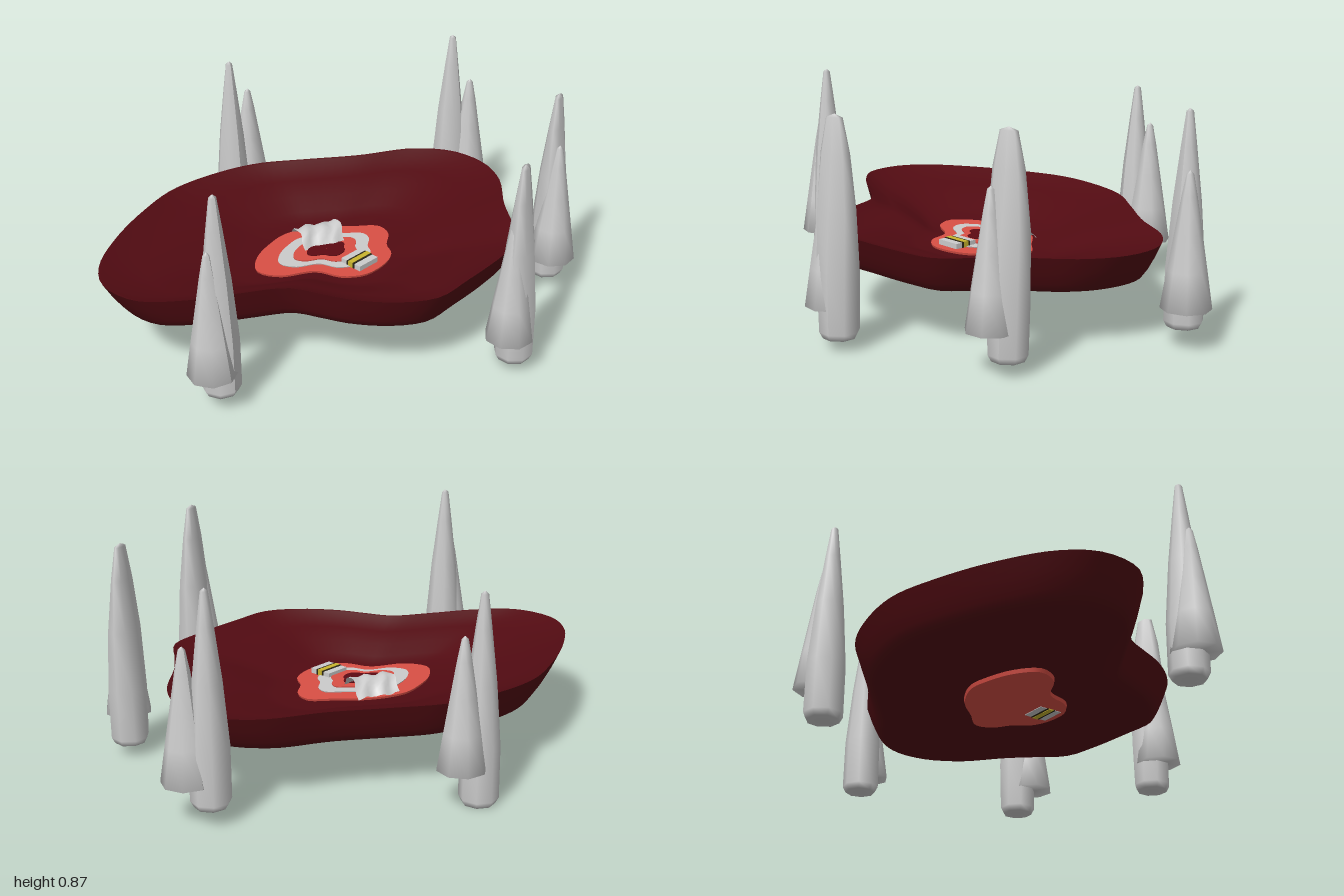
import * as THREE from 'three';
import { toCreasedNormals } from 'three/addons/utils/BufferGeometryUtils.js';

const material = (color) => new THREE.MeshStandardMaterial({ color, side: THREE.DoubleSide, roughness: 0.9 });
const grey = material(0xcccccc);

function addMesh(parent, name, geometry, mat) {
  const mesh = new THREE.Mesh(geometry, mat);
  mesh.name = name;
  parent.add(mesh);
  return mesh;
}

// Closed smooth outline in the ground plane from a few [x, z] points
function outline(points, count) {
  const curve = new THREE.CatmullRomCurve3(points.map(([x, z]) => new THREE.Vector3(x, 0, z)), true);
  return curve.getSpacedPoints(count).slice(0, count);
}

// Solid made of rings: the outline scaled about a centre, at [scale, y]
function loft(ring, cx, cz, levels, crease = 0.7) {
  const n = ring.length, positions = [], index = [];
  levels.forEach(([s, y], i) => ring.forEach((p, j) => {
    positions.push(cx + (p.x - cx) * s, y, cz + (p.z - cz) * s);
    if (i === levels.length - 1) return;
    const a = i * n + j, b = i * n + (j + 1) % n;
    index.push(a, a + n, b, b, a + n, b + n);
  }));
  const g = new THREE.BufferGeometry();
  g.setAttribute('position', new THREE.Float32BufferAttribute(positions, 3));
  g.setIndex(index);
  return toCreasedNormals(g, crease);
}

// Faceted spike with a bent tip; tip widens the top along its own x
function spike(profile, height, { sides = 8, tip = 0, turn = 0 } = {}) {
  const g = new THREE.LatheGeometry(profile.map(([r, t]) => new THREE.Vector2(r, t * height)), sides);
  const p = g.attributes.position;
  for (let i = 0; i < p.count; i++) {
    const t = p.getY(i) / height;
    p.setX(i, p.getX(i) * (1 + tip * t * t));
  }
  g.rotateY(turn);
  g.computeVertexNormals();
  return g;
}

const tallProfile = [[0, 0], [0.062, 0], [0.075, 0.03], [0.074, 0.28], [0.054, 0.58], [0.03, 0.83], [0.014, 0.985], [0, 1]];
const shortProfile = [[0, 0], [0.094, 0], [0.072, 0.28], [0.05, 0.55], [0.028, 0.82], [0.013, 0.975], [0, 1]];

export function createModel() {
  const model = new THREE.Group();

  // Shallow dish with an irregular rim
  const dishRing = outline([
    [-1, -0.1], [-0.95, -0.24], [-0.8, -0.4], [-0.61, -0.54], [-0.42, -0.64], [-0.19, -0.67], [0, -0.65],
    [0.19, -0.57], [0.41, -0.47], [0.65, -0.39], [0.78, -0.27], [0.82, -0.11], [0.78, 0.05], [0.65, 0.24],
    [0.59, 0.35], [0.51, 0.5], [0.38, 0.56], [0.14, 0.63], [-0.02, 0.665], [-0.16, 0.61], [-0.29, 0.5],
    [-0.37, 0.39], [-0.44, 0.3], [-0.61, 0.23], [-0.8, 0.16], [-0.95, 0.06],
  ], 104);
  addMesh(model, 'dish', loft(dishRing, -0.05, -0.02, [
    [0.002, 0.21], [0.5, 0.21], [0.87, 0.211], [0.905, 0.222], [0.93, 0.25], [0.965, 0.3], [1, 0.36],
    [0.985, 0.357], [0.95, 0.342], [0.8, 0.318], [0.65, 0.29], [0.52, 0.255], [0.42, 0.234], [0.002, 0.23],
  ]), material(0x520b12));

  // Layered centre: red patch, grey ring, red middle and dark opening
  const centre = new THREE.Group();
  centre.name = 'centrePatch';
  model.add(centre);
  const patchRing = outline([
    [-0.375, -0.04], [-0.32, -0.13], [-0.21, -0.2], [-0.12, -0.23], [0.03, -0.2], [0.14, -0.13], [0.235, -0.07],
    [0.235, 0], [0.17, 0.08], [0.15, 0.14], [0.09, 0.19], [-0.03, 0.22], [-0.12, 0.18], [-0.18, 0.09], [-0.32, 0.04],
  ], 60);
  const red = material(0xd94f45);
  const layers = [
    ['patch', 1, 0.195, 0.242, red],
    ['ring', 0.68, 0.225, 0.246, grey],
    ['middle', 0.47, 0.225, 0.25, red],
    ['opening', 0.28, 0.225, 0.253, material(0x5c0a12)],
  ];
  for (const [name, s, low, high, mat] of layers) {
    addMesh(centre, name, loft(patchRing, -0.06, -0.015, [[0.002, low], [s * 0.95, low], [s, high], [0.002, high]]), mat);
  }

  // Crumpled arched sheet over the back of the opening
  const sheet = new THREE.PlaneGeometry(0.18, 0.17, 10, 10).rotateX(-Math.PI / 2);
  const sp = sheet.attributes.position;
  for (let i = 0; i < sp.count; i++) {
    const x = sp.getX(i), z = sp.getZ(i);
    const arch = 0.055 * (1 - (z / 0.085) ** 2);
    sp.setXYZ(i, x + 0.006 * Math.sin(z * 70), arch + 0.005 * Math.sin(x * 90 + z * 40), z + 0.006 * Math.sin(x * 60));
  }
  sheet.computeVertexNormals();
  const arch = addMesh(centre, 'archedSheet', sheet, grey);
  arch.position.set(-0.03, 0.245, -0.125);
  arch.rotation.y = -0.2;

  // Small white block with a yellow band and dark edges
  const block = new THREE.Group();
  block.name = 'bandedBlock';
  block.position.set(0, 0.228, 0.13);
  block.rotation.y = 0.22;
  centre.add(block);
  addMesh(block, 'block', new THREE.BoxGeometry(0.105, 0.07, 0.1), material(0xffffff));
  addMesh(block, 'bandEdge', new THREE.BoxGeometry(0.107, 0.073, 0.04), material(0x2a2515));
  addMesh(block, 'band', new THREE.BoxGeometry(0.109, 0.076, 0.022), material(0xc9b52e));

  // Five pairs of spikes: tall [x, z, bottom, top, tip, turn], short [x, z]
  const pairs = [
    [[-0.765, 0.35, 0.065, 0.87, 0, 0.2], [-0.805, 0.36]],
    [[0.275, 0.76, 0.045, 0.86, 1.5, 0.6], [0.235, 0.775]],
    [[0.795, 0.36, 0.05, 0.86, 1.5, 0.6], [0.77, 0.415]],
    [[0.83, -0.36, 0.065, 0.87, 0, 0.4], [0.9, -0.315]],
    [[-0.055, -0.77, 0, 0.81, 0, 0], [0.033, -0.775]],
  ];
  pairs.forEach(([[x, z, low, high, tip, turn], [sx, sz]], i) => {
    const pair = new THREE.Group();
    pair.name = `spikePair${i + 1}`;
    model.add(pair);
    addMesh(pair, 'tallSpike', spike(tallProfile, high - low, { tip, turn }), grey).position.set(x, low, z);
    addMesh(pair, 'shortSpike', spike(shortProfile, 0.505, { turn: 0.3 + i }), grey).position.set(sx, 0.157, sz);
  });

  return model;
}
